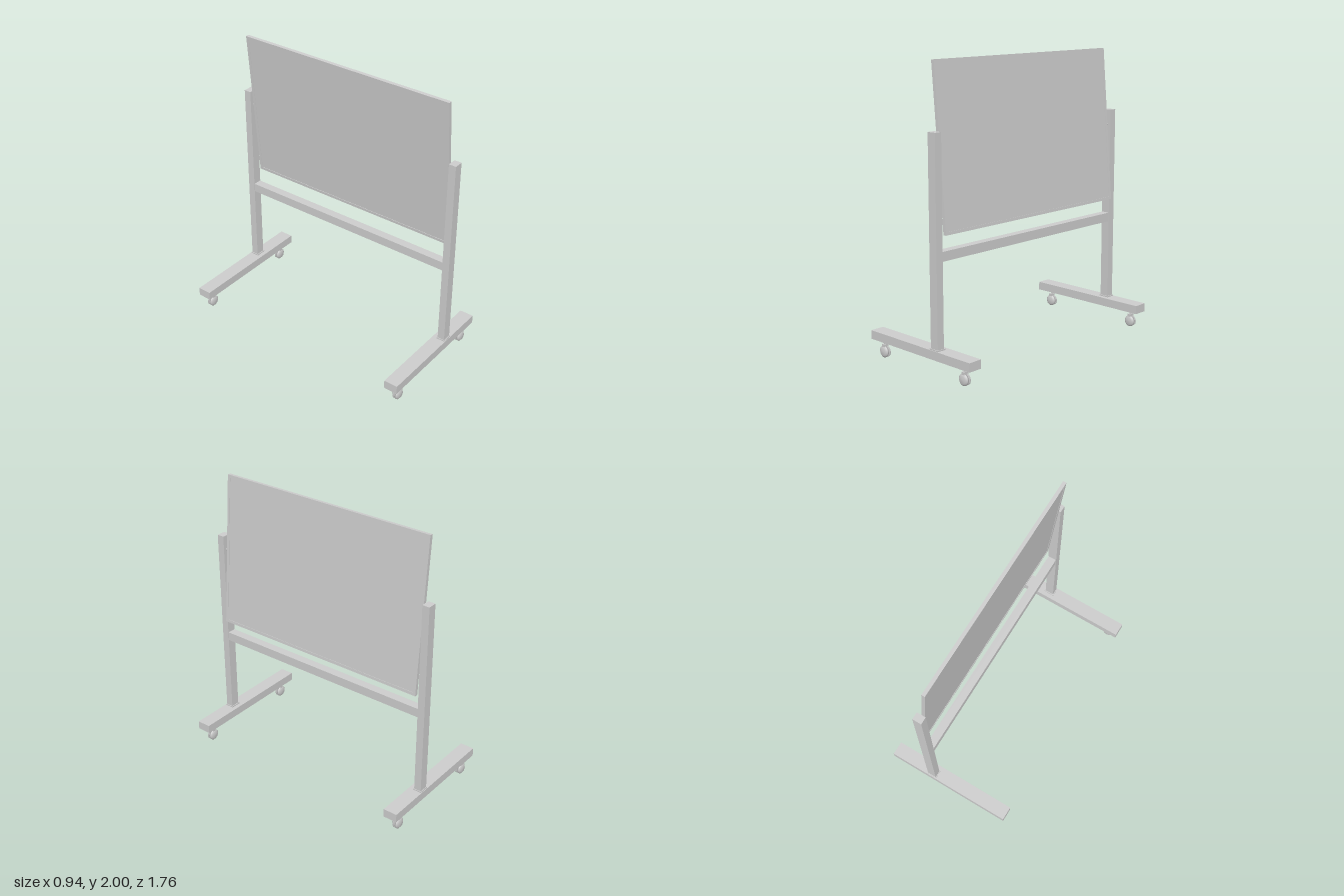
import * as THREE from 'three';

const grey = new THREE.MeshStandardMaterial({ color: 0xcccccc });

function add(parent, name, geometry, x = 0, y = 0, z = 0) {
  const mesh = new THREE.Mesh(geometry, grey);
  mesh.name = name;
  mesh.position.set(x, y, z);
  parent.add(mesh);
  return mesh;
}
const box = (w, h, d) => new THREE.BoxGeometry(w, h, d);

// Twin-wheel caster, axle along z
function createCaster() {
  const caster = new THREE.Group();
  caster.name = 'caster';
  const profile = [[0, 0.004], [0.04, 0.004], [0.04, 0.013], [0.036, 0.016], [0.026, 0.024], [0, 0.025]]
    .map(([r, h]) => new THREE.Vector2(r, h));
  for (const s of [1, -1]) {
    const wheel = add(caster, 'wheel', new THREE.LatheGeometry(profile, 24), 0, 0.042, 0);
    wheel.rotation.x = s * Math.PI / 2;
  }
  const hub = add(caster, 'casterHub', new THREE.CylinderGeometry(0.028, 0.028, 0.012, 20), 0, 0.042, 0);
  hub.rotation.x = Math.PI / 2;
  add(caster, 'casterFork', box(0.024, 0.036, 0.036), 0, 0.076, 0);
  add(caster, 'casterStem', new THREE.CylinderGeometry(0.008, 0.008, 0.045, 12), 0, 0.103, 0);
  return caster;
}

// Framed double-sided panel, built upright and then tilted
function createBoard() {
  const board = new THREE.Group();
  board.name = 'board';
  const H = 1.082, W = 1.62, T = 0.024, B = 0.02;
  add(board, 'panel', box(T - 0.006, H - 2 * B, W - 2 * B));
  for (const s of [1, -1]) {
    add(board, 'frameRail', box(T, B, W), 0, s * (H - B) / 2, 0);
    add(board, 'frameStile', box(T, H - 2 * B, B), 0, 0, s * (W - B) / 2);
  }
  board.position.set(0.1425, 1.46, 0);
  board.rotation.z = THREE.MathUtils.degToRad(4.85);
  return board;
}

export function createModel() {
  const model = new THREE.Group();
  model.name = 'mobileBoard';
  model.add(createBoard());
  const postX = 0.143;

  // Foot, post, pivot and casters at each end
  for (const s of [1, -1]) {
    const end = new THREE.Group();
    end.name = s > 0 ? 'frontStand' : 'backStand';
    add(end, 'foot', box(0.94, 0.06, 0.1), 0, 0.15, s * 0.83);
    add(end, 'postFlange', box(0.076, 0.008, 0.064), postX, 0.184, s * 0.843);
    add(end, 'post', box(0.065, 1.385, 0.052), postX, 0.8725, s * 0.844);
    const pivot = add(end, 'pivot', new THREE.CylinderGeometry(0.01, 0.01, 0.03, 16), postX, 1.46, s * 0.813);
    pivot.rotation.x = Math.PI / 2;
    for (const x of [-0.385, 0.38]) {
      const caster = createCaster();
      caster.position.set(x, 0, s * 0.833);
      end.add(caster);
    }
    model.add(end);
  }

  // Crossbar joining the posts
  add(model, 'crossbar', box(0.06, 0.063, 1.64), postX, 0.784, 0);
  return model;
}
